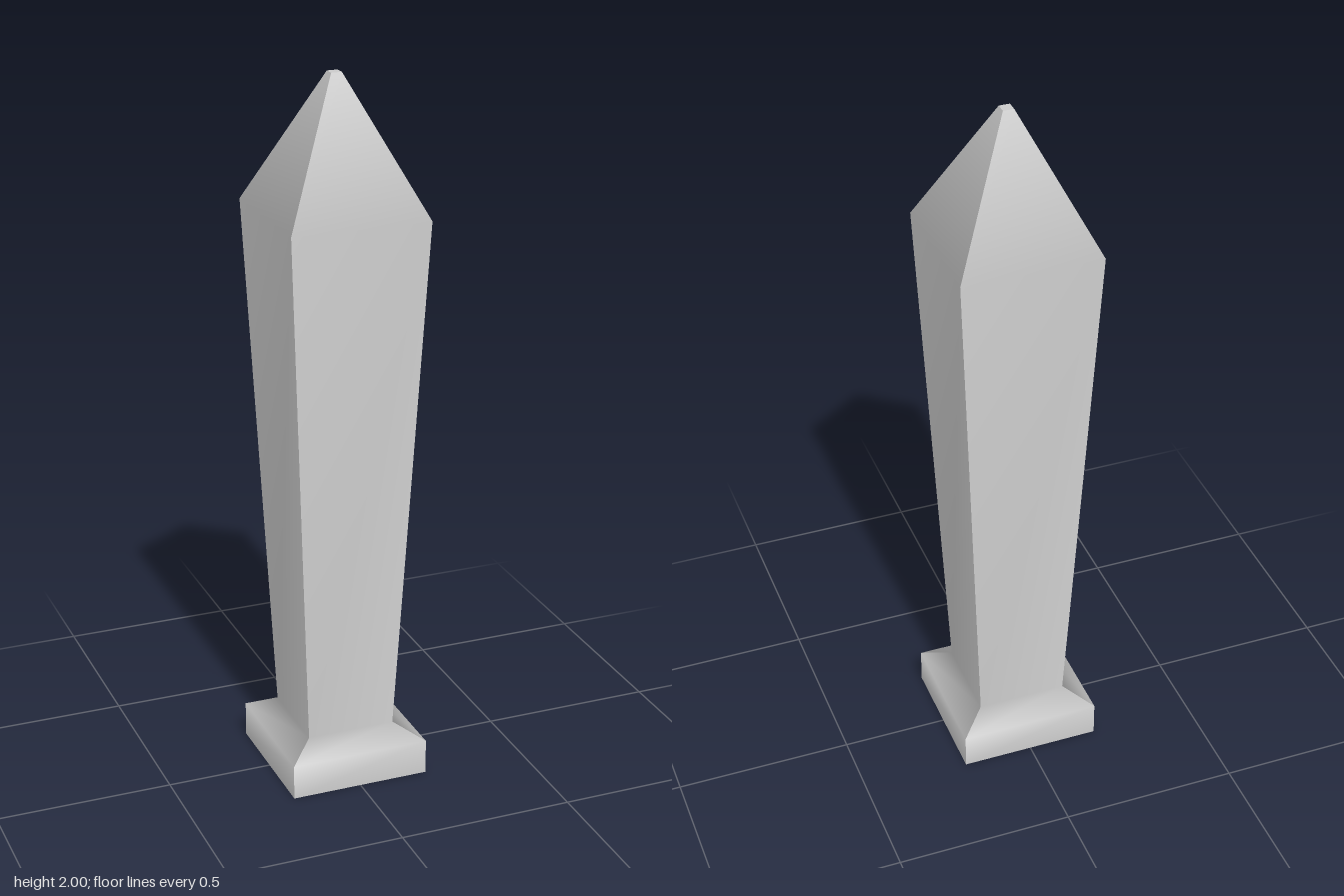
import * as THREE from 'three';

// Half-width and height of the square section, from tip to ground
const PROFILE = [
  [0.015, 2], [0.196, 1.63], [0.127, 0.14], [0.2, 0.1], [0.2, 0],
];

// One side of the post: a strip of rows, smooth up its height
function sideGeometry() {
  const geometry = new THREE.PlaneGeometry(1, 1, 1, PROFILE.length - 1);
  const position = geometry.attributes.position;
  PROFILE.forEach(([half, y], row) => {
    position.setXYZ(row * 2, -half, y, half);
    position.setXYZ(row * 2 + 1, half, y, half);
  });
  geometry.computeVertexNormals();
  return geometry;
}

export function createModel() {
  const group = new THREE.Group();
  group.name = 'post';
  const material = new THREE.MeshStandardMaterial({ color: 0xcccccc });

  const add = (name, geometry) => {
    const mesh = new THREE.Mesh(geometry, material);
    mesh.name = name;
    group.add(mesh);
    return mesh;
  };

  // Four equal sides with sharp corners between them
  const side = sideGeometry();
  ['frontSide', 'leftSide', 'backSide', 'rightSide'].forEach((name, i) => {
    add(name, side).rotation.y = i * Math.PI / 2;
  });

  // Flat tip and underside
  const tip = add('tipCap', new THREE.PlaneGeometry(0.03, 0.03));
  tip.rotation.x = -Math.PI / 2;
  tip.position.y = 2;
  add('underside', new THREE.PlaneGeometry(0.4, 0.4)).rotation.x = Math.PI / 2;

  return group;
}
